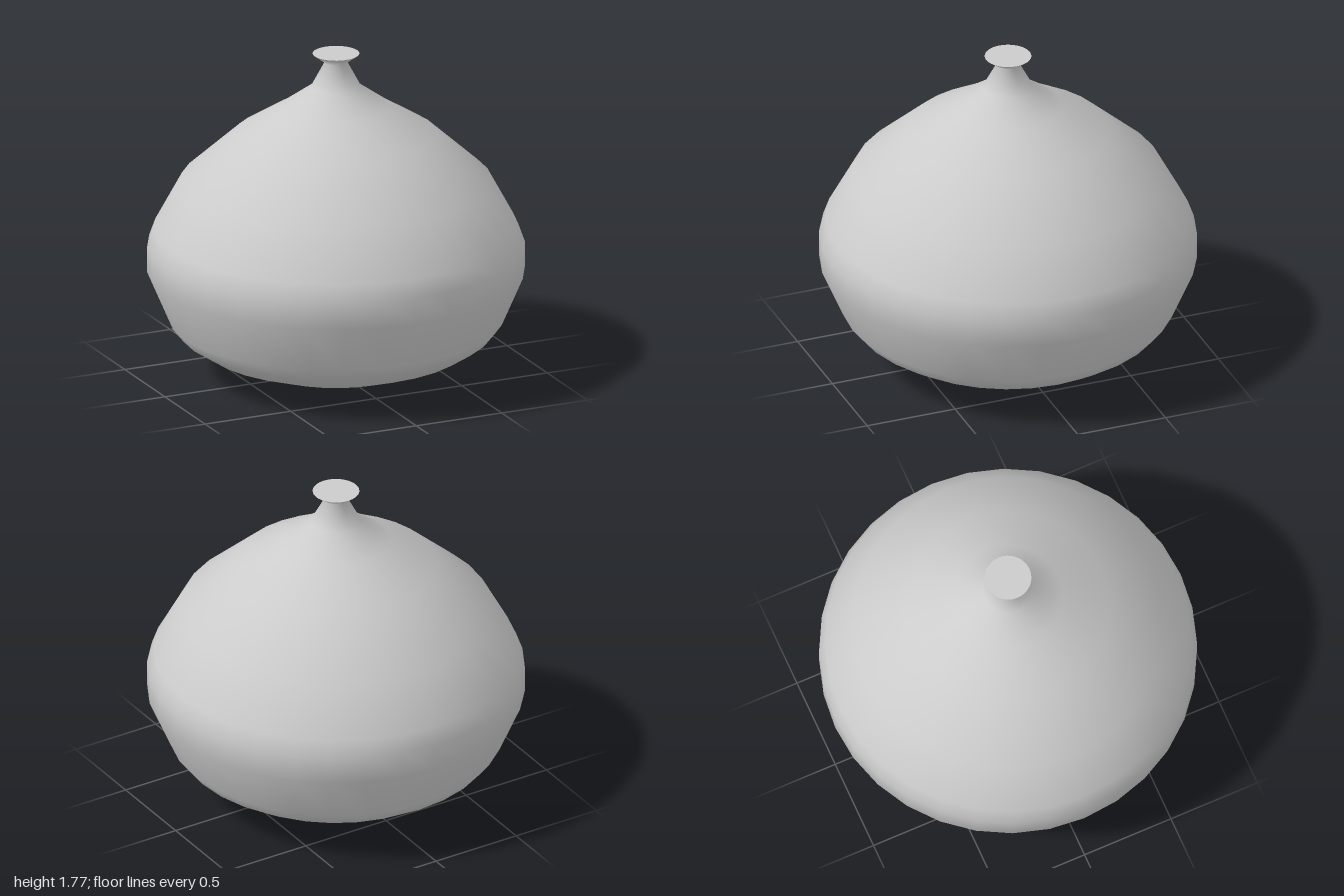
import * as THREE from 'three';

const SEGMENTS = 32;

// Outer profile from the base centre up to the lip: [radius, height]
const PROFILE = [
  [0, 0], [0.16, 0.005], [0.46, 0.06], [0.71, 0.152], [0.83, 0.23],
  [0.887, 0.302], [1, 0.567], [1, 0.713], [0.967, 0.805], [0.825, 1.068],
  [0.537, 1.327], [0.29, 1.48], [0.132, 1.592], [0.06, 1.727], [0.124, 1.775],
];

export function createModel() {
  const group = new THREE.Group();
  group.name = 'vase';
  const material = new THREE.MeshStandardMaterial({ color: 0xcccccc });

  // Squat body, narrow neck and flared lip in one smooth turned surface
  const points = PROFILE.map(([r, y]) => new THREE.Vector2(r, y));
  const body = new THREE.Mesh(new THREE.LatheGeometry(points, SEGMENTS), material);
  body.name = 'body';
  group.add(body);

  // Flat disc closing the lip
  const [lipRadius, lipHeight] = PROFILE[PROFILE.length - 1];
  const lid = new THREE.Mesh(new THREE.CircleGeometry(lipRadius, SEGMENTS), material);
  lid.name = 'lipCap';
  lid.rotation.x = -Math.PI / 2;
  lid.position.y = lipHeight;
  group.add(lid);

  return group;
}
